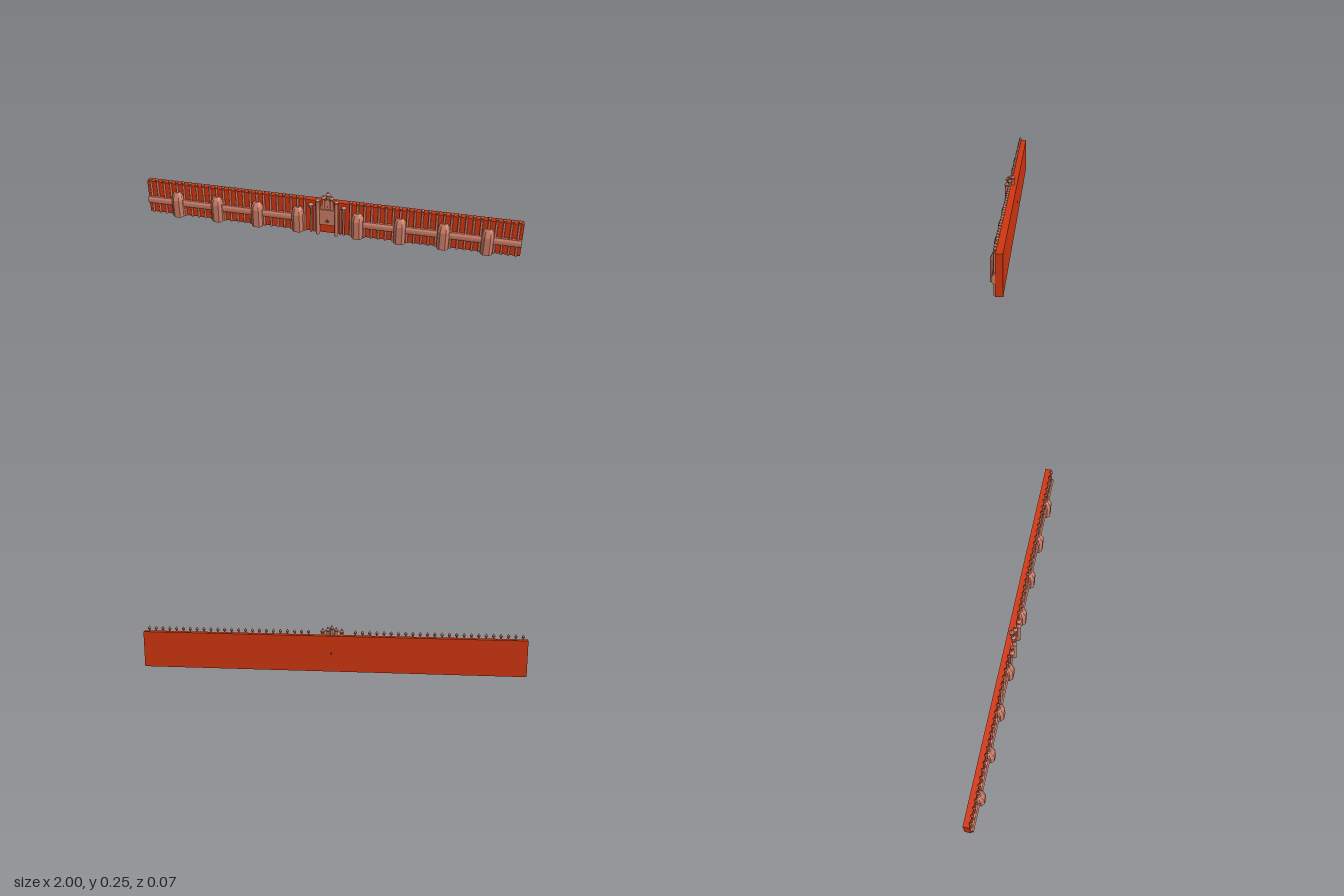
import * as THREE from 'three';

const mat = (name, color) => Object.assign(new THREE.MeshStandardMaterial({ color }), { name });

export function createModel() {
  const red = mat('red wall', 0xd2360f);
  const clay = mat('clay trim', 0xcb7c66);
  const grey = mat('lamp grey', 0x8fa3aa);
  const dark = mat('dark detail', 0x4a2a24);
  const clayFlat = clay;
  const model = new THREE.Group();
  model.name = 'ornamentalFence';

  const add = (name, geo, material, x = 0, y = 0, z = 0, parent = model) => {
    const m = new THREE.Mesh(geo, material);
    m.name = name;
    m.position.set(x, y, z);
    parent.add(m);
    return m;
  };
  const box = (w, h, d) => new THREE.BoxGeometry(w, h, d);
  const lathe = (pts, n) => new THREE.LatheGeometry(pts.map(p => new THREE.Vector2(...p)), n).toNonIndexed();
  const faceted = g => { g.computeVertexNormals(); return g; };

  // Backing wall
  add('backWall', box(2, 0.189, 0.033), red, 0, 0.0975, -0.0175);

  // Pickets with pointed finials
  const picketGeo = new THREE.CylinderGeometry(0.0062, 0.0062, 0.19, 8);
  const finialGeo = faceted(lathe([[0, 0], [0.004, 0], [0.004, 0.007], [0.0085, 0.011],
    [0.0085, 0.016], [0.004, 0.021], [0, 0.027]], 8));
  for (let i = 0; i < 24; i++) {
    for (const s of [-1, 1]) {
      const x = s * (0.978 - i * 0.0372);
      add('picket', picketGeo, clay, x, 0.097, 0.002);
      add('picketFinial', finialGeo, clay, x, 0.191, 0.001);
    }
  }

  // Bulging horizontal rails either side of the gate
  const railShape = new THREE.Shape([[0, 0.058], [0.009, 0.06], [0.015, 0.07], [0.016, 0.08],
    [0.015, 0.09], [0.009, 0.1], [0, 0.102]].map(p => new THREE.Vector2(-p[0], p[1])));
  const railGeo = new THREE.ExtrudeGeometry(railShape, { depth: 0.84, bevelEnabled: false });
  railGeo.rotateY(Math.PI / 2);
  add('rightRail', railGeo, clay, -1, 0, 0);
  add('leftRail', railGeo, clay, 0.16, 0, 0);

  // Buttress: half-octagon sections that shrink to a domed top
  const section = [[0.033, 0], [0.03, 0.019], [0.015, 0.034], [-0.015, 0.034], [-0.03, 0.019], [-0.033, 0]];
  const levels = [[0.003, 1, 1], [0.107, 1, 1], [0.125, 0.9, 0.78], [0.138, 0.72, 0.58], [0.146, 0.42, 0.4]];
  const verts = [], idx = [];
  levels.forEach(([y, sx, sz]) => section.forEach(([x, z]) => verts.push(x * sx, y, z * sz)));
  const n = section.length;
  for (let l = 0; l < levels.length - 1; l++) {
    for (let j = 0; j < n - 1; j++) {
      const a = l * n + j, b = a + 1, c = a + n, d = c + 1;
      idx.push(a, c, b, b, c, d);
    }
  }
  const t = (levels.length - 1) * n;
  for (let j = 1; j < n - 1; j++) {
    idx.push(0, j, j + 1);
    idx.push(t, t + j + 1, t + j);
  }
  const indexed = new THREE.BufferGeometry();
  indexed.setAttribute('position', new THREE.Float32BufferAttribute(verts, 3));
  indexed.setIndex(idx);
  const buttressGeo = faceted(indexed.toNonIndexed());
  for (const s of [-1, 1]) {
    for (const x of [0.16, 0.383, 0.607, 0.83]) add('buttress', buttressGeo, clayFlat, s * x, 0, 0);
  }

  // Gate posts stepping up towards the middle, each with cap and finial
  const capGeo = faceted(lathe([[0, 0], [0.009, 0], [0.013, 0.004], [0.013, 0.008], [0.008, 0.013],
    [0.004, 0.016], [0.005, 0.02], [0, 0.026]], 10));
  const gate = new THREE.Group();
  gate.name = 'gate';
  model.add(gate);
  const gatePost = (x, z, bottom, top, r) => {
    add('gatePost', new THREE.CylinderGeometry(r, r, top - bottom, 10), clay, x, (top + bottom) / 2, z, gate);
    add('gatePostCap', capGeo, clay, x, top, z, gate);
  };
  gatePost(0, -0.011, 0.14, 0.221, 0.008);
  for (const s of [-1, 1]) {
    gatePost(s * 0.022, 0.003, 0.14, 0.208, 0.008);
    gatePost(s * 0.05, 0.016, 0, 0.198, 0.0095);
    // Side pilaster joined to the wall
    add('gatePilaster', box(0.016, 0.19, 0.014), clay, s * 0.05, 0.098, 0.005, gate);
    add('sidePicket', box(0.008, 0.15, 0.01), clay, s * 0.07, 0.078, 0.003, gate);
    add('lampPole', new THREE.CylinderGeometry(0.005, 0.006, 0.155, 8), clay, s * 0.088, 0.08, 0.007, gate);
    // Lamp with a roof
    const lamp = new THREE.Group();
    lamp.name = 'lamp';
    lamp.position.set(s * 0.088, 0.152, 0.009);
    gate.add(lamp);
    add('lampGlass', new THREE.CylinderGeometry(0.012, 0.007, 0.018, 6), grey, 0, 0.01, 0, lamp);
    add('lampRoof', new THREE.ConeGeometry(0.016, 0.014, 6), clay, 0, 0.026, 0, lamp);
    add('lampBracket', box(0.032, 0.005, 0.006), clay, -s * 0.018, -0.002, 0, lamp);
  }

  // Gate panel, cornice and emblem plates
  add('gatePanel', box(0.086, 0.09, 0.01), clay, 0, 0.1, 0.005, gate);
  add('gateCornice', box(0.094, 0.007, 0.014), clay, 0, 0.145, 0.006, gate);
  const pediment = new THREE.Shape([[-0.043, 0], [0.043, 0], [0.02, 0.045], [0, 0.062], [-0.02, 0.045]]
    .map(p => new THREE.Vector2(...p)));
  add('gatePediment', new THREE.ExtrudeGeometry(pediment, { depth: 0.006, bevelEnabled: false }),
    clay, 0, 0.147, -0.001, gate);
  const tri = new THREE.Shape([[-0.011, 0], [0.011, 0], [0, 0.017]].map(p => new THREE.Vector2(...p)));
  tri.holes.push(new THREE.Path([[-0.006, 0.003], [0, 0.012], [0.006, 0.003]].map(p => new THREE.Vector2(...p))));
  add('panelEmblem', new THREE.ExtrudeGeometry(tri, { depth: 0.002, bevelEnabled: false }),
    dark, 0, 0.074, 0.01, gate);
  add('pedimentWindow', new THREE.CircleGeometry(0.006, 3).rotateZ(Math.PI / 2), dark, 0, 0.165, 0.0055, gate);

  // Small round plug in the back face
  const plug = add('backPlug', new THREE.CylinderGeometry(0.006, 0.006, 0.002, 12), dark, 0, 0.098, -0.034);
  plug.rotation.x = Math.PI / 2;

  return model;
}
